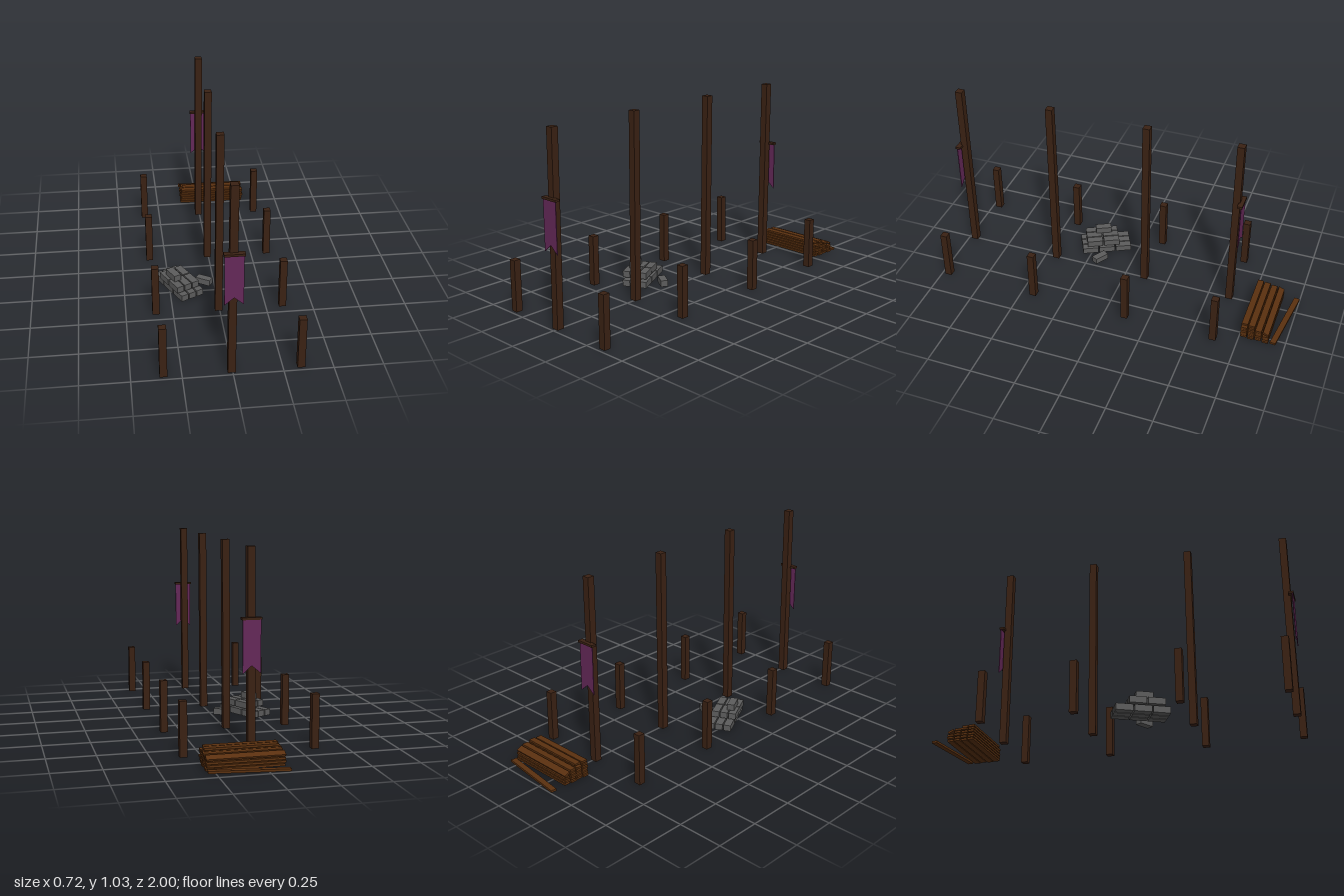
import * as THREE from 'three';

const mat = (color) => new THREE.MeshStandardMaterial({ color, flatShading: true });

export function createModel() {
  const model = new THREE.Group();
  const darkWood = mat(0x3a2113);
  const plankWood = mat(0x5a300f);
  const stone = mat(0x5c5c5c);
  const cloth = mat(0x642858);
  cloth.side = THREE.DoubleSide;

  const box = (name, parent, material, size, pos, turn = 0) => {
    const mesh = new THREE.Mesh(new THREE.BoxGeometry(...size), material);
    mesh.name = name;
    mesh.position.set(...pos);
    mesh.rotation.y = turn;
    parent.add(mesh);
    return mesh;
  };
  const group = (name) => {
    const g = new THREE.Group();
    g.name = name;
    model.add(g);
    return g;
  };

  // Four rows of posts: a tall, slightly leaning one between two short ones
  const posts = group('posts');
  for (const z of [0.962, 0.431, -0.116, -0.62]) {
    const tall = box('tallPost', posts, darkWood, [0.039, 1.03, 0.039], [-0.003, 0.515, z]);
    const p = tall.geometry.attributes.position;
    for (let i = 0; i < p.count; i++) {
      const lean = Math.sign(p.getY(i)) * 0.003;
      p.setX(i, p.getX(i) + lean);
      p.setZ(i, p.getZ(i) - lean * 0.6);
    }
    for (const side of [-1, 1]) {
      box('shortPost', posts, darkWood, [0.038, 0.283, 0.038], [side * 0.34, 0.1415, z]);
    }
  }

  // Swallow-tailed banners hanging outside the first and last tall posts
  const outline = new THREE.Shape([
    [-0.047, 0.675], [-0.047, 0.405], [0, 0.445], [0.046, 0.405], [0.046, 0.675],
  ].map(([x, y]) => new THREE.Vector2(x, y)));
  for (const [barZ, clothZ] of [[0.985, 0.992], [-0.646, -0.652]]) {
    const banner = group('banner');
    box('crossbar', banner, darkWood, [0.102, 0.012, 0.028], [0, 0.678, barZ]);
    const sheet = new THREE.Mesh(
      new THREE.ExtrudeGeometry(outline, { depth: 0.004, bevelEnabled: false }), cloth);
    sheet.name = 'bannerCloth';
    sheet.position.z = clothZ - 0.002;
    banner.add(sheet);
  }

  // Stepped pile of stone blocks
  const pile = group('stonePile');
  const turn = 0.467;
  const addStones = (cx, cz, y, rows, count) => {
    for (let r = 0; r < rows; r++) {
      for (let i = 0; i < count; i++) {
        const across = (r - (rows - 1) / 2) * 0.0475;
        const along = (i - (count - 1) / 2) * 0.097;
        box('stoneBlock', pile, stone, [0.041, 0.035, 0.09], [
          cx + across * Math.cos(turn) + along * Math.sin(turn), y,
          cz - across * Math.sin(turn) + along * Math.cos(turn)], turn);
      }
    }
  };
  addStones(-0.197, 0.196, 0.022, 3, 3);
  addStones(-0.197, 0.218, 0.063, 3, 2);
  addStones(-0.228, 0.222, 0.098, 1, 1);
  box('looseStone', pile, stone, [0.085, 0.035, 0.04], [-0.055, 0.022, 0.18], -0.56);

  // Stack of planks in four columns, lower towards the back
  const stack = group('plankStack');
  [[-0.774, 6], [-0.814, 6], [-0.853, 5], [-0.893, 3]].forEach(([z, layers], c) => {
    for (let i = 0; i < layers; i++) {
      const shift = ((i * 2 + c * 3) % 5 - 2) * 0.002;
      box('plank', stack, plankWood, [i === 5 ? 0.37 : 0.388, 0.011, 0.034],
        [0.094 + shift, 0.0105 + i * 0.0155, z]);
    }
  });
  // One plank slipping off the step, another lying loose on the ground
  box('slippingPlank', stack, plankWood, [0.388, 0.011, 0.034], [0.094, 0.063, -0.892]).rotation.x = -0.45;
  box('loosePlank', stack, plankWood, [0.392, 0.012, 0.031], [0.094, 0.011, -0.96], -0.128);

  return model;
}
